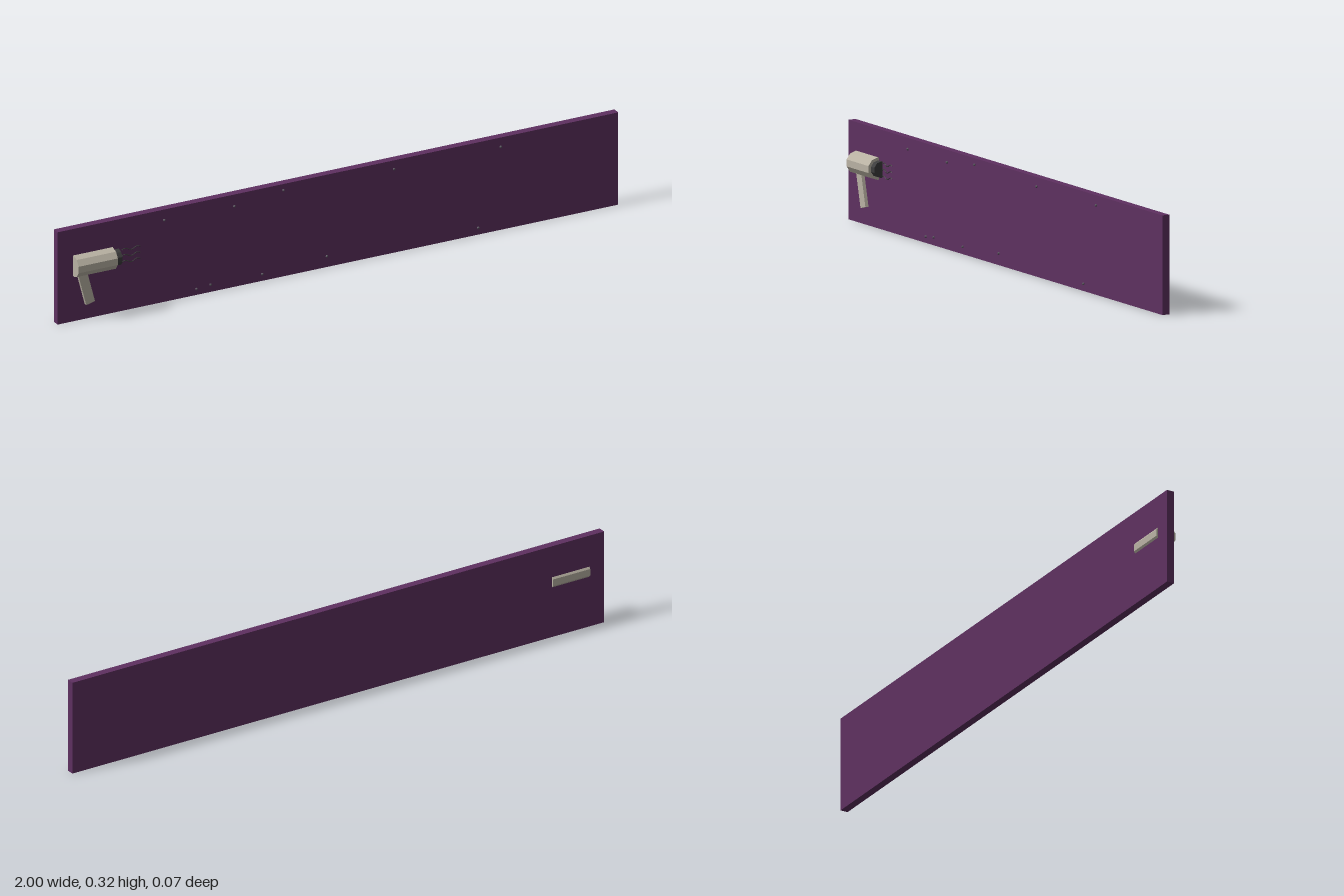
import * as THREE from 'three';

const paint = (color) => new THREE.MeshStandardMaterial({ color, flatShading: true });

export function createModel() {
  const model = new THREE.Group();
  const purple = paint(0x5e3060);
  const beige = paint(0xb9b2a3);
  const dark = paint(0x3c3c3c);
  const grey = paint(0x55505a);

  const add = (parent, name, geometry, material, x, y, z) => {
    const mesh = new THREE.Mesh(geometry, material);
    mesh.name = name;
    mesh.position.set(x, y, z);
    parent.add(mesh);
    return mesh;
  };

  // Long sign board
  add(model, 'board', new THREE.BoxGeometry(2, 0.32, 0.026), purple, 0, 0.16, -0.017);

  // Hair dryer: ten-sided barrel sunk through the board, nozzle and tilted handle
  const dryer = new THREE.Group();
  dryer.name = 'hairDryer';
  model.add(dryer);
  const tube = (radius, length) =>
    new THREE.CylinderGeometry(radius, radius, length, 10).rotateY(Math.PI / 2).rotateZ(-Math.PI / 2);
  add(dryer, 'barrel', tube(0.0365, 0.14), beige, -0.875, 0.193, 0);
  add(dryer, 'nozzle', tube(0.027, 0.025), dark, -0.796, 0.193, 0);
  const handle = add(dryer, 'handle', new THREE.BoxGeometry(0.032, 0.12, 0.013), beige, -0.903, 0.114, 0.001);
  handle.rotation.z = THREE.MathUtils.degToRad(14.5);

  // Three wavy streams of air
  for (let i = -1; i <= 1; i++) {
    const points = [];
    for (let k = 0; k <= 12; k++) {
      const t = k / 12;
      points.push(new THREE.Vector3(t * 0.066, 0.004 * Math.sin(t * Math.PI * 3), 0));
    }
    const path = new THREE.CatmullRomCurve3(points);
    add(model, 'airStream', new THREE.TubeGeometry(path, 24, 0.0016, 5), dark, -0.774, 0.193 + i * 0.021, 0.003);
  }

  // Small studs along the top and bottom edges
  const studs = [
    [-0.62, 0.284], [-0.37, 0.28], [-0.195, 0.299], [0.2, 0.29], [0.58, 0.288],
    [-0.505, 0.021], [-0.455, 0.026], [-0.27, 0.024], [-0.04, 0.038], [0.5, 0.024],
  ];
  for (const [x, y] of studs) {
    add(model, 'stud', new THREE.SphereGeometry(0.0045, 6, 5), grey, x, y, -0.0025);
  }

  return model;
}
